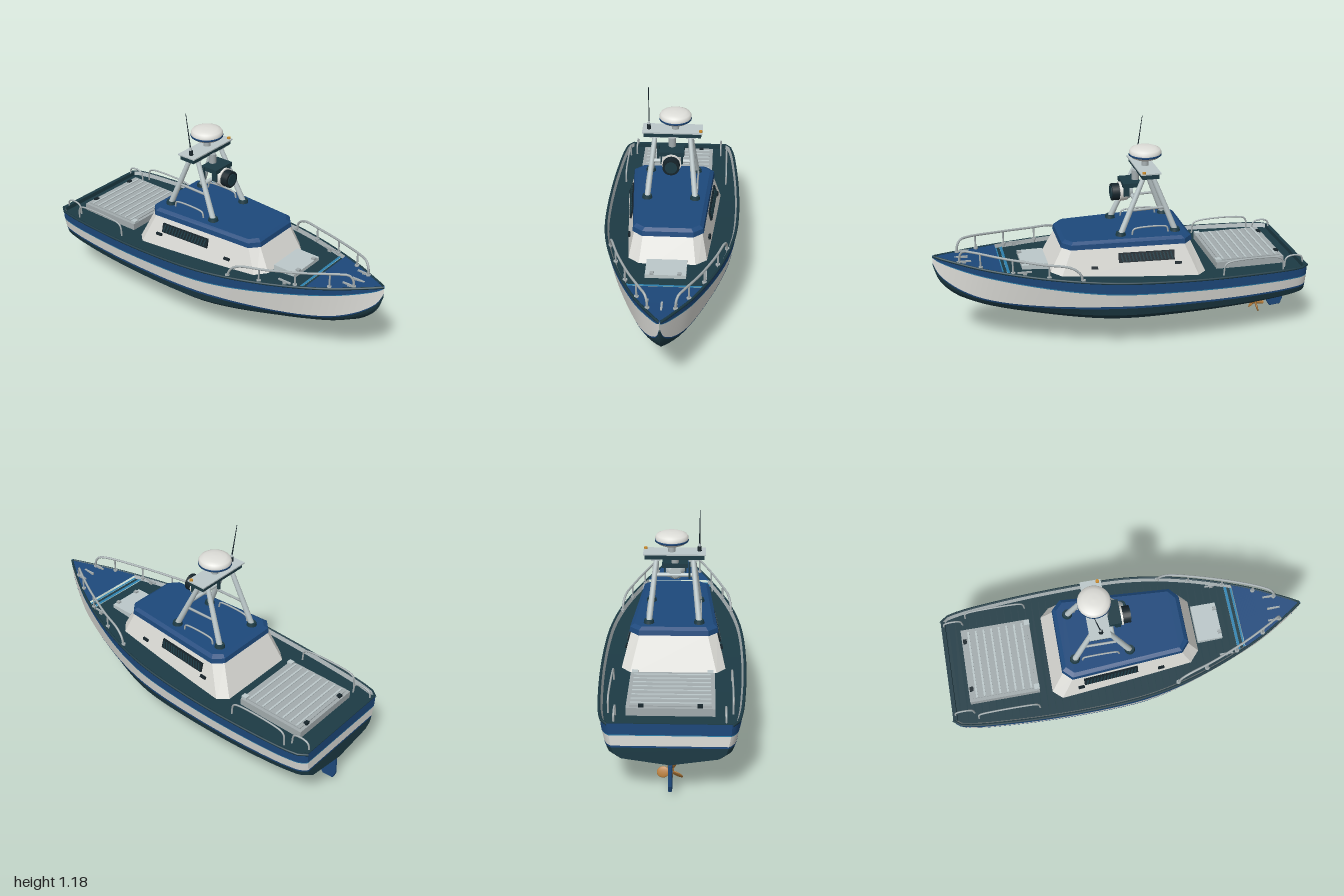
import * as THREE from 'three';

const mat = (name, color) => {
  const m = new THREE.MeshStandardMaterial({ color });
  m.name = name;
  return m;
};
const V = (x, y, z) => new THREE.Vector3(x, y, z);

// Smooth function y(x) through a few [x, y] points
function curve(pts) {
  const slope = i => {
    const a = pts[Math.max(i - 1, 0)], b = pts[Math.min(i + 1, pts.length - 1)];
    return (b[1] - a[1]) / (b[0] - a[0]);
  };
  return x => {
    let i = 0;
    while (i < pts.length - 2 && x > pts[i + 1][0]) i++;
    const [x0, y0] = pts[i], [x1, y1] = pts[i + 1], h = x1 - x0, t = (x - x0) / h;
    return y0 * (1 + 2 * t) * (1 - t) ** 2 + slope(i) * h * t * (1 - t) ** 2 +
      y1 * t * t * (3 - 2 * t) + slope(i + 1) * h * t * t * (t - 1);
  };
}
const beam = curve([[-1, 0.29], [-0.985, 0.307], [-0.95, 0.325], [-0.8, 0.347], [-0.4, 0.369], [0, 0.362], [0.25, 0.325], [0.5, 0.252], [0.75, 0.148], [0.9, 0.062], [1, 0.002]]);
const sheer = curve([[-1, 0.405], [-0.4, 0.415], [0, 0.432], [0.3, 0.452], [0.6, 0.477], [0.8, 0.5], [1, 0.53]]);
const keel = curve([[-1, 0.185], [-0.6, 0.148], [-0.1, 0.13], [0.2, 0.141], [0.55, 0.183], [0.74, 0.223], [0.85, 0.268], [0.92, 0.32], [0.975, 0.39], [1, 0.47]]);

export function createModel() {
  const model = new THREE.Group();
  model.name = 'patrolBoat';
  const navy = mat('dark teal', 0x1d3b45), blue = mat('blue', 0x1d497c), white = mat('off white', 0xdfdfda);
  const steel = mat('steel grey', 0xa3acae), pale = mat('pale grey', 0xbcc8ca), bronze = mat('bronze', 0xb67c3a);
  const cyan = mat('light blue', 0x2e82b0), black = mat('black', 0x16242b), amber = mat('amber', 0xc98a2c);

  const add = (name, geo, m, x = 0, y = 0, z = 0, parent = model) => {
    const mesh = new THREE.Mesh(geo, m);
    mesh.name = name;
    mesh.position.set(x, y, z);
    parent.add(mesh);
    return mesh;
  };
  const box = (name, w, h, d, m, x, y, z, parent) => add(name, new THREE.BoxGeometry(w, h, d), m, x, y, z, parent);
  const cyl = (name, r0, r1, h, m, x, y, z, parent) => add(name, new THREE.CylinderGeometry(r0, r1, h, 20), m, x, y, z, parent);
  const rod = (name, a, b, r, m, r2 = r) => {
    const mesh = add(name, new THREE.CylinderGeometry(r2, r, a.distanceTo(b), 12), m);
    mesh.position.copy(a).add(b).multiplyScalar(0.5);
    mesh.quaternion.setFromUnitVectors(V(0, 1, 0), b.clone().sub(a).normalize());
    return mesh;
  };
  const tube = (name, pts, r, m) => add(name, new THREE.TubeGeometry(new THREE.CatmullRomCurve3(pts, false, 'centripetal'), 40, r, 8), m);

  // Surface strip between a lower and an upper row of points
  const strip = (name, lo, hi, m, flat = false) => {
    const n = lo.length, idx = [];
    for (let i = 0; i < n - 1; i++) idx.push(i, i + 1, n + i + 1, i, n + i + 1, n + i);
    let g = new THREE.BufferGeometry().setFromPoints([...lo, ...hi]);
    g.setIndex(idx);
    if (flat) g = g.toNonIndexed();
    g.computeVertexNormals();
    return add(name, g, m);
  };
  const flip = row => row.map(p => V(p.x, p.y, -p.z));
  const both = (name, lo, hi, m) => { strip(name, lo, hi, m); strip(name, flip(hi), flip(lo), m); };

  // Hull: bands between lines running from transom to stem
  const xs = Array.from({ length: 49 }, (_, i) => -Math.cos(Math.PI * i / 48));
  const line = (w, f, wBow, fBow) => xs.map(x => {
    const p = THREE.MathUtils.smoothstep(x, 0, 0.85), k = keel(x);
    const aft = 0.2 * f * (1 - f) * THREE.MathUtils.smoothstep(-x, 0.2, 1);
    return V(x, k + (sheer(x) - k) * (f - aft + (fBow - f) * p), beam(x) * (w + (wBow - w) * p));
  });
  const lines = [
    line(0, 0, 0, 0), line(0.79, 0.19, 0.47, 0.1), line(0.91, 0.32, 0.66, 0.17), line(0.945, 0.47, 0.79, 0.26),
    line(0.95, 0.515, 0.82, 0.3), line(0.985, 0.75, 0.96, 0.81), line(0.988, 0.77, 0.965, 0.83), line(1, 1, 1, 1)];
  const bands = [['bottom', navy], ['bilge', navy], ['chine', navy], ['bootStripe', blue], ['topside', white], ['pinstripe', cyan], ['sheerBand', blue]];
  bands.forEach(([name, m], j) => {
    both(name, lines[j], lines[j + 1], m);
    const [a, b] = [lines[j][0], lines[j + 1][0]];
    strip('transom', [flip([a])[0], a], [flip([b])[0], b], m);
  });

  // Gunwale, bulwark and deck
  const edge = (x0, x1, inset, drop) => Array.from({ length: 41 }, (_, i) => {
    const x = x0 + (x1 - x0) * i / 40;
    return V(x, sheer(x) - drop, Math.max(beam(x) - inset, 0));
  });
  for (const [x0, x1, m] of [[-1, 0.652, navy], [0.652, 1, blue]]) both('gunwaleCap', edge(x0, x1, 0, 0), edge(x0, x1, 0.008, 0), m);
  both('bulwark', edge(-1, 0.652, 0.008, 0), edge(-1, 0.652, 0.019, 0.024), steel);
  for (const s of [1, -1]) tube('rubRail', xs.filter((_, i) => i % 2 === 0).map(x => V(Math.min(x, 0.995), sheer(x) - 0.005, s * beam(x))), 0.007, navy);
  for (const [name, x0, x1, drop, m] of [['mainDeck', -1, 0.61, 0.022, navy], ['deckLine', 0.61, 0.625, 0.018, cyan],
    ['deckGap', 0.625, 0.642, 0.02, navy], ['deckLine', 0.642, 0.652, 0.018, cyan], ['foredeck', 0.652, 1, 0.003, blue]]) {
    const row = edge(x0, x1, 0.008, drop);
    strip(name, row, flip(row), m);
  }
  box('sternCap', 0.022, 0.03, 0.58, navy, -0.988, 0.392, 0);

  // Cabin and roof: lofted eight-sided rings
  const ring = (y, half) => {
    const h = half.map(([x, z]) => V(x, y, z));
    return [...h, ...flip(h).reverse(), h[0]];
  };
  const loft = (name, rings, m) => {
    for (let i = 0; i < rings.length - 1; i++) strip(name, rings[i], rings[i + 1], m, true);
    const top = rings[rings.length - 1];
    strip(name + 'Top', top.slice(0, 4), top.slice(4, 8).reverse(), m, true);
  };
  loft('cabin', [
    ring(0.38, [[-0.445, 0.225], [-0.395, 0.272], [0.365, 0.217], [0.425, 0.155]]),
    ring(0.57, [[-0.36, 0.175], [-0.315, 0.221], [0.285, 0.178], [0.325, 0.13]])], white);
  loft('roof', [
    ring(0.563, [[-0.355, 0.17], [-0.31, 0.215], [0.28, 0.175], [0.32, 0.125]]),
    ring(0.568, [[-0.37, 0.18], [-0.32, 0.23], [0.29, 0.186], [0.335, 0.135]]),
    ring(0.594, [[-0.365, 0.178], [-0.318, 0.226], [0.287, 0.183], [0.33, 0.133]]),
    ring(0.607, [[-0.345, 0.165], [-0.305, 0.205], [0.275, 0.165], [0.31, 0.12]])], blue);

  for (const s of [1, -1]) {
    // Side louvres and latches, lying on the sloping cabin wall
    const wall = new THREE.Group();
    wall.name = 'louvre';
    wall.rotation.set(-s * 0.265, s * 0.073, 0, 'YXZ');
    wall.position.set(-0.11, 0.512, s * 0.224);
    model.add(wall);
    box('louvreFrame', 0.3, 0.052, 0.012, black, 0, 0, 0, wall);
    for (let i = 0; i < 15; i++) box('louvreSlat', 0.008, 0.04, 0.008, navy, -0.133 + i * 0.019, 0, s * 0.006, wall).rotation.z = -0.25;
    for (const x of [-0.17, 0.28]) box('latch', 0.035, 0.014, 0.012, black, x, -0.045, 0, wall);

    // Bow rail with stanchions
    const rail = (x, y) => V(x, y, s * (beam(x) - 0.015));
    tube('bowRail', [rail(0.25, 0.435), rail(0.265, 0.485), rail(0.31, 0.518), rail(0.45, 0.533), rail(0.65, 0.556),
      rail(0.8, 0.575), rail(0.845, 0.572), rail(0.862, 0.545), rail(0.865, 0.5)], 0.0065, steel);
    for (const x of [0.42, 0.6, 0.76]) rod('stanchion', rail(x, sheer(x) - 0.02), rail(x, 0.528 + (x - 0.42) * 0.11), 0.005, steel);
    for (const x of [0.25, 0.42, 0.6, 0.76, 0.865]) cyl('railFoot', 0.012, 0.012, 0.008, steel, x, sheer(x), s * (beam(x) - 0.015));

    // Low grab rails on the aft deck and on the roof
    const grab = (x0, x1, y, z, h) => tube('grabRail', [V(x0, y, z), V(x0 + 0.008, y + h * 0.8, z), V(x0 + 0.03, y + h, z),
      V(x1 - 0.03, y + h, z), V(x1 - 0.008, y + h * 0.8, z), V(x1, y, z)], 0.005, steel);
    grab(-0.86, -0.52, 0.385, s * 0.298, 0.078);
    grab(-0.985, -0.88, 0.385, s * 0.262, 0.064);
    grab(-0.25, -0.05, 0.605, s * 0.14, 0.037);

    // Mooring cleats
    for (const [x, z] of [[0.54, 0.205], [0.84, 0.07]]) {
      box('cleatPost', 0.02, 0.02, 0.01, steel, x, sheer(x) - 0.006, s * z);
      box('cleatBar', 0.075, 0.008, 0.009, steel, x, sheer(x) + 0.006, s * z);
    }

    // Mast legs, feet and side braces
    for (const [x0, x1] of [[0.01, -0.125], [-0.29, -0.17]]) {
      rod('mastLeg', V(x0, 0.61, s * 0.13), V(x1, 0.915, s * 0.095), 0.016, pale, 0.013);
      cyl('mastFoot', 0.024, 0.028, 0.018, navy, x0, 0.615, s * 0.13);
    }
    rod('sideBrace', V(-0.235, 0.74, s * 0.115), V(-0.05, 0.735, s * 0.115), 0.007, steel);
    box('legBracket', 0.075, 0.014, 0.05, pale, -0.147, 0.914, s * 0.098);
    rod('propStrut', V(-0.79, 0.07, 0), V(-0.775, 0.17, s * 0.03), 0.007, bronze);
    box('hatchHinge', 0.03, 0.014, 0.03, pale, -0.52, 0.434, s * 0.19);
    box('hatchCatch', 0.02, 0.012, 0.025, black, -0.875, 0.434, s * 0.14);
    box('foreHatchHinge', 0.02, 0.01, 0.02, steel, 0.53, 0.474, s * 0.07);
  }

  // Aft hatch with narrow cross ribs
  box('hatchFrame', 0.385, 0.04, 0.425, steel, -0.7, 0.408, 0);
  box('hatchPanel', 0.35, 0.006, 0.39, steel, -0.7, 0.43, 0);
  for (let i = 0; i < 8; i++) box('hatchRib', 0.01, 0.01, 0.385, pale, -0.851 + i * 0.043, 0.433, 0);
  box('foreHatch', 0.14, 0.04, 0.21, pale, 0.47, 0.45, 0);
  box('bowFitting', 0.07, 0.012, 0.01, steel, 0.85, 0.506, 0);

  // Mast head: cross beam, platform, light
  rod('crossBar', V(-0.075, 0.79, -0.11), V(-0.075, 0.79, 0.11), 0.011, pale);
  box('mastBeam', 0.09, 0.026, 0.31, navy, -0.147, 0.93, 0);
  box('mastPlatform', 0.11, 0.007, 0.325, pale, -0.147, 0.946, 0);
  cyl('signalLight', 0.009, 0.01, 0.01, amber, -0.11, 0.953, -0.152);

  // Radar dome
  cyl('radarPedestal', 0.017, 0.02, 0.05, steel, -0.15, 0.97, -0.015);
  const lathe = (name, pts, m) => add(name, new THREE.LatheGeometry(pts.map(p => new THREE.Vector2(...p)), 36), m, -0.15, 0, -0.015);
  lathe('radarBase', [[0, 0.984], [0.05, 0.986], [0.072, 0.996], [0.083, 1.006]], white);
  lathe('radarStripe', [[0.083, 1.006], [0.087, 1.008], [0.087, 1.016], [0.086, 1.018]], blue);
  lathe('radarDome', [[0.086, 1.018], [0.086, 1.028], [0.079, 1.041], [0.058, 1.05], [0.03, 1.054], [0, 1.055]], white);

  // Whip antenna
  cyl('antennaBase', 0.009, 0.012, 0.028, black, -0.14, 0.962, 0.128);
  cyl('antennaCollar', 0.006, 0.007, 0.016, pale, -0.143, 0.984, 0.128);
  rod('antennaWhip', V(-0.143, 0.985, 0.128), V(-0.17, 1.178, 0.13), 0.0035, black, 0.0015);

  // Searchlight facing forward under the beam
  cyl('lampPost', 0.02, 0.02, 0.06, steel, -0.1, 0.89, 0);
  box('lampBracket', 0.1, 0.024, 0.135, navy, -0.07, 0.857, 0);
  for (const z of [-0.056, 0.056]) box('lampYoke', 0.03, 0.06, 0.008, navy, -0.04, 0.825, z);
  box('lampConduit', 0.014, 0.09, 0.012, navy, -0.1, 0.825, 0.076);
  const lamp = new THREE.Group();
  lamp.name = 'searchlight';
  lamp.position.set(-0.02, 0.806, 0);
  lamp.rotation.z = -Math.PI / 2;
  model.add(lamp);
  cyl('lampBack', 0.05, 0.03, 0.035, pale, 0, -0.045, 0, lamp);
  cyl('lampBody', 0.053, 0.05, 0.04, white, 0, -0.008, 0, lamp);
  cyl('lampRing', 0.046, 0.046, 0.045, black, 0, 0.03, 0, lamp);
  cyl('lampLens', 0.033, 0.033, 0.006, navy, 0, 0.053, 0, lamp);

  // Propeller, shaft and rudder
  rod('shaftFairing', V(-0.5, 0.138, 0), V(-0.63, 0.112, 0), 0.026, navy, 0.017);
  rod('propShaft', V(-0.58, 0.122, 0), V(-0.85, 0.05, 0), 0.011, steel);
  const prop = new THREE.Group();
  prop.name = 'propeller';
  prop.position.set(-0.825, 0.051, 0);
  prop.rotation.z = 0.25;
  model.add(prop);
  rod('propHub', V(-0.875, 0.04, 0), V(-0.79, 0.063, 0), 0.01, bronze, 0.018);
  for (let i = 0; i < 3; i++) {
    const arm = new THREE.Group();
    arm.name = 'propBlade';
    arm.rotation.x = 0.2 + i * Math.PI * 2 / 3;
    prop.add(arm);
    const blade = add('blade', new THREE.SphereGeometry(1, 16, 10), bronze, 0, 0.041, 0, arm);
    blade.scale.set(0.006, 0.032, 0.028);
    blade.rotation.y = 0.6;
  }
  const rudder = new THREE.Shape([[-0.98, 0.162], [-0.987, 0.06], [-0.975, 0.027], [-0.915, 0.022], [-0.9, 0.045], [-0.888, 0.167]].map(p => new THREE.Vector2(...p)));
  add('rudder', new THREE.ExtrudeGeometry(rudder, { depth: 0.012, bevelSize: 0.003, bevelThickness: 0.004, bevelSegments: 1 }), blue, 0, 0, -0.006);
  rod('rudderStock', V(-0.93, 0.15, 0), V(-0.93, 0.21, 0), 0.011, steel);
  return model;
}
